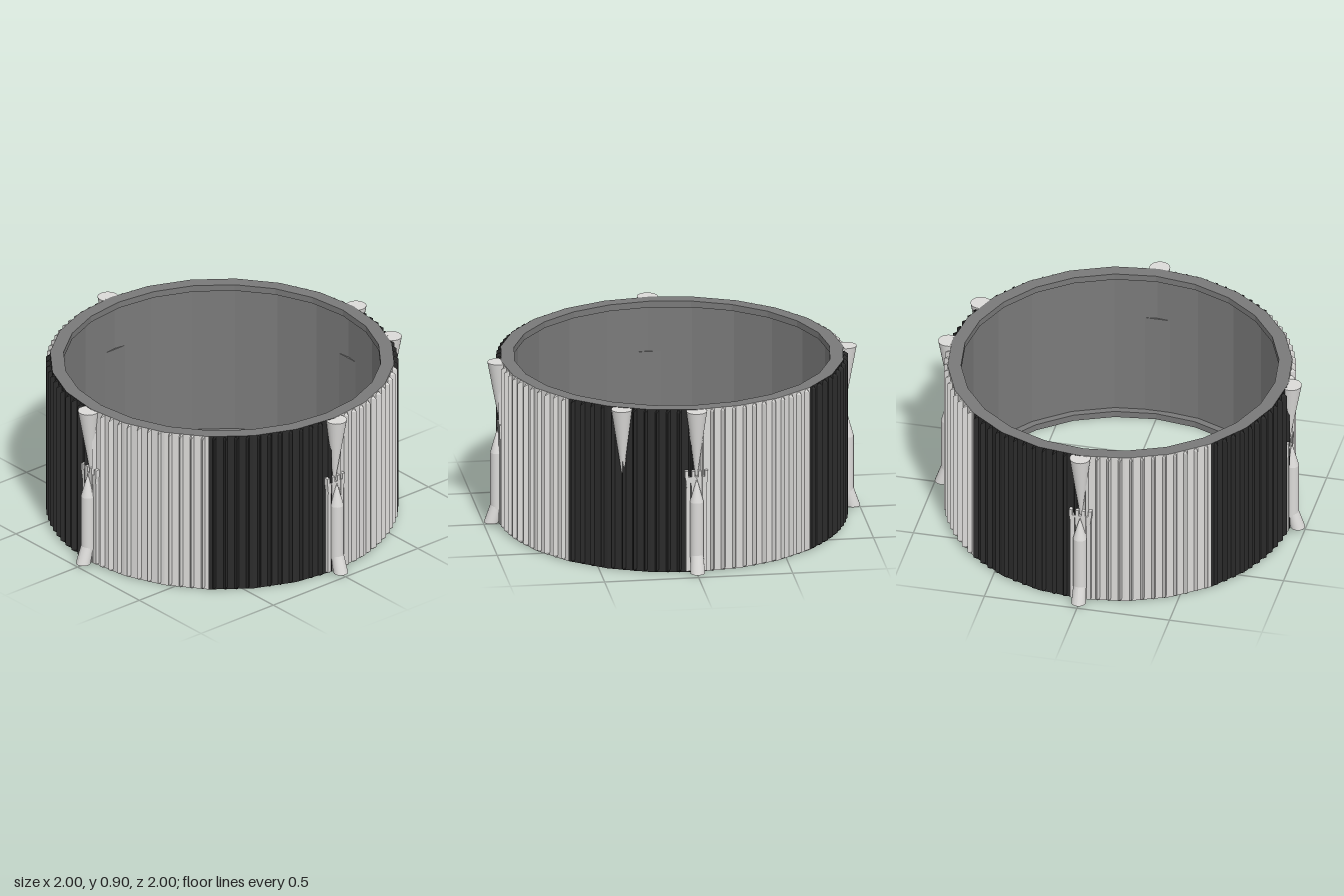
import * as THREE from 'three';
import { mergeGeometries } from 'three/addons/utils/BufferGeometryUtils.js';

const H = 0.905, R_OUT = 0.908, R_LIP = 0.837, R_WALL = 0.874, LIP = 0.035, SIDES = 24;

const grey = new THREE.MeshStandardMaterial({ color: 0x7a7a7a });
grey.name = 'mid grey';
const light = new THREE.MeshStandardMaterial({ color: 0xdcdbd9 });
light.name = 'light stone';
const dark = new THREE.MeshStandardMaterial({ color: 0x2b2b2b });
dark.name = 'charcoal';

// Faceted copy of a geometry
function flat(geometry) {
  const g = geometry.index ? geometry.toNonIndexed() : geometry;
  g.computeVertexNormals();
  return g;
}

function part(name, geometry, material) {
  const mesh = new THREE.Mesh(geometry, material);
  mesh.name = name;
  return mesh;
}

// Three-sided upright rib with its ridge chamfered at both ends; faces +z
function ribGeometry() {
  const half = H / 2, chamfer = 0.015;
  const g = new THREE.CylinderGeometry(0.02, 0.02, H, 3, 3, true);
  const p = g.attributes.position;
  for (let i = 0; i < p.count; i++) {
    const y = p.getY(i), atEnd = Math.abs(y) > half * 0.9;
    if (!atEnd) p.setY(i, Math.sign(y) * (half - chamfer));
    else if (p.getZ(i) > 0.01) p.setZ(i, 0);
    p.setX(i, p.getX(i) * 0.75);
  }
  return g.translate(0, half, R_OUT - 0.001);
}

// One eighth of the outside: faceted wall plus upright ribs
function sectorGeometry(start) {
  const sweep = Math.PI / 4, count = 12;
  const wall = new THREE.CylinderGeometry(R_OUT, R_OUT, H, 3, 1, true, start, sweep);
  const pieces = [flat(wall.translate(0, H / 2, 0))];
  for (let i = 0; i < count; i++) {
    pieces.push(flat(ribGeometry().rotateY(start + ((i + 0.5) / count) * sweep)));
  }
  return mergeGeometries(pieces);
}

// Inverted cone, half sunk in the wall and leaning in toward its tip; faces +z
function spike() {
  const length = 0.385;
  const g = new THREE.CylinderGeometry(0.055, 0.003, length, 24);
  const p = g.attributes.position;
  for (let i = 0; i < p.count; i++) p.setZ(i, p.getZ(i) - (length / 2 - p.getY(i)) * 0.05);
  g.translate(0, H - 0.002 - length / 2, 0.926);
  return part('invertedSpike', g, light);
}

// Castle tower on a backing slab; faces +z
function tower() {
  const group = new THREE.Group();
  group.name = 'tower';
  group.add(part('backingSlab', new THREE.BoxGeometry(0.11, 0.5, 0.035).translate(0, 0.26, 0.903), light));

  // Mounting plate showing on the inside of the wall
  const plate = new THREE.BoxGeometry(0.135, 0.58, 0.03).translate(0, 0.325, 0.88);
  group.add(part('innerPlate', plate, grey));

  // Shallow battlement with a widening neck and merlons
  const neck = new THREE.CylinderGeometry(0.085, 0.074, 0.06, 4, 1, false, Math.PI / 4);
  neck.scale(1, 1, 0.28).translate(0, 0.505, 0.908);
  group.add(part('battlement', flat(neck), light));
  for (let i = 0; i < 4; i++) {
    const merlon = new THREE.BoxGeometry(0.018, 0.035, 0.032);
    merlon.translate(-0.052 + i * 0.0347, 0.55, 0.909);
    group.add(part('merlon', merlon, light));
  }

  // Round shaft and pointed roof
  group.add(part('shaft', new THREE.CylinderGeometry(0.036, 0.036, 0.31, 20).translate(0, 0.245, 0.93), light));
  const roof = new THREE.ConeGeometry(0.036, 0.13, 20).translate(0, 0.465, 0.93);
  group.add(part('roof', roof, light));

  // Foot that leans outward toward the bottom
  const foot = new THREE.CylinderGeometry(0.034, 0.039, 0.1, 20);
  const p = foot.attributes.position;
  for (let i = 0; i < p.count; i++) p.setZ(i, p.getZ(i) + (0.05 - p.getY(i)) * 0.3);
  foot.computeVertexNormals();
  group.add(part('foot', foot.translate(0, 0.062, 0.931), light));
  const hole = new THREE.CylinderGeometry(0.024, 0.024, 0.004, 16).translate(0, 0.01, 0.961);
  group.add(part('footHole', hole, dark));
  return group;
}

export function createModel() {
  const model = new THREE.Group();
  model.name = 'ribbedRing';

  // Rims, inward lips and the recessed inner wall
  const profile = [
    [R_OUT, H], [R_LIP, H], [R_LIP, H - LIP], [R_WALL, H - LIP],
    [R_WALL, LIP], [R_LIP, LIP], [R_LIP, 0], [R_OUT, 0],
  ].map(([x, y]) => new THREE.Vector2(x, y));
  model.add(part('ringBody', flat(new THREE.LatheGeometry(profile, SIDES)), grey));

  // Alternating light and dark sectors
  for (let i = 0; i < 8; i++) {
    const isLight = i % 2 === 0;
    model.add(part(isLight ? 'lightSector' : 'darkSector', sectorGeometry(i * Math.PI / 4), isLight ? light : dark));
  }

  // Tower and spike at each quarter
  for (let i = 0; i < 4; i++) {
    const quarter = new THREE.Group();
    quarter.name = 'quarterMarker';
    quarter.add(tower(), spike());
    quarter.rotation.y = i * Math.PI / 2;
    model.add(quarter);
  }

  // Single extra spike marking one sector
  const marker = spike();
  marker.name = 'extraSpike';
  marker.rotation.y = THREE.MathUtils.degToRad(65.3);
  model.add(marker);

  return model;
}
